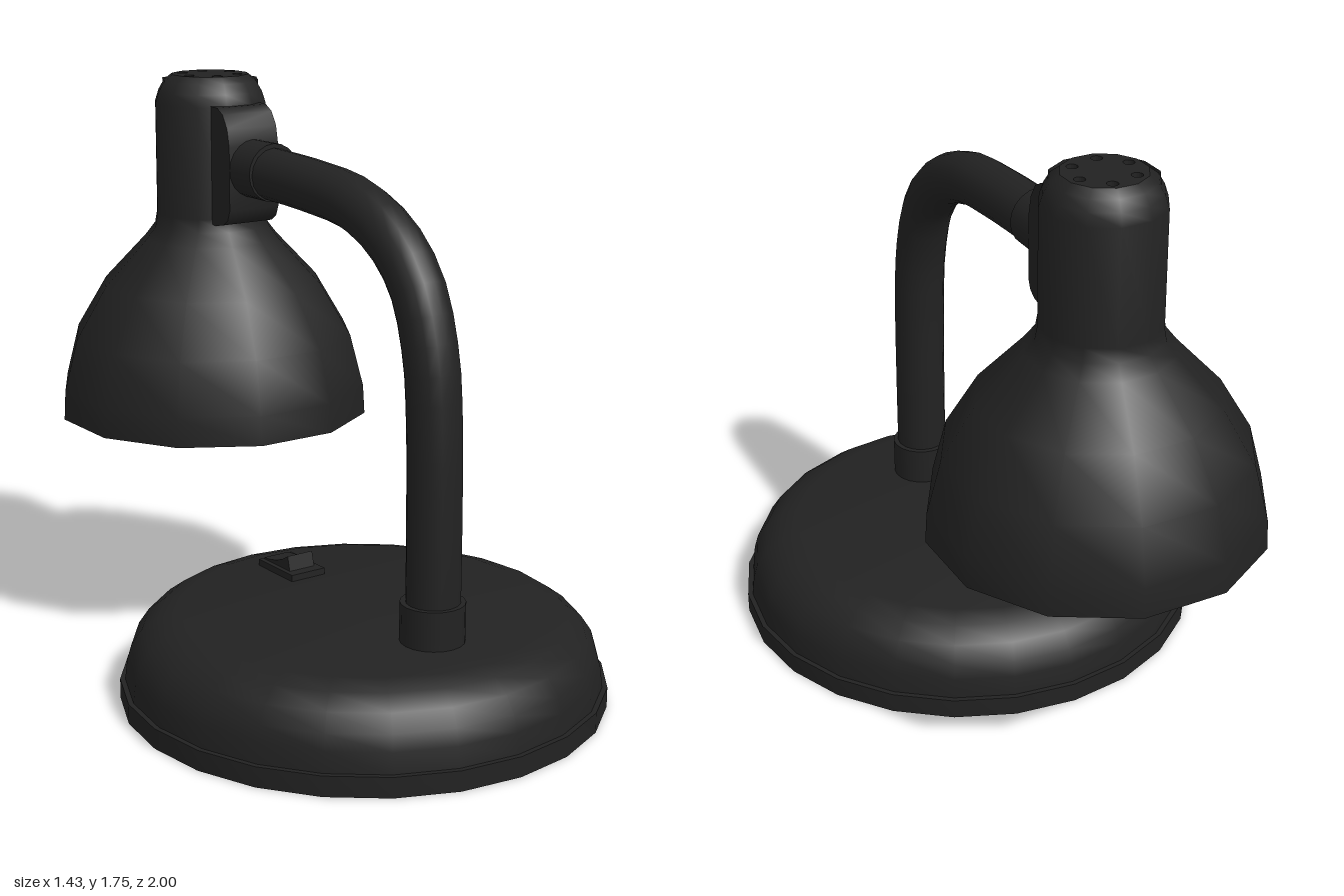
import * as THREE from 'three';
import { toCreasedNormals } from 'three/addons/utils/BufferGeometryUtils.js';

const black = new THREE.MeshStandardMaterial({ color: 0x222222 });
black.name = 'black enamel';
const white = new THREE.MeshStandardMaterial({ color: 0xf0f0f0 });
white.name = 'white reflector';
const grey = new THREE.MeshStandardMaterial({ color: 0xb4b4b4 });
grey.name = 'frosted bulb';

const BASE_Z = 0.283, HEAD_Z = -0.528, ARM_Z = 0.607;
const SIDES = 12, TWIST = Math.PI / 12, FLAT = Math.cos(TWIST);

export function createModel() {
  const lamp = new THREE.Group();
  lamp.name = 'deskLamp';

  const add = (name, geometry, material, x = 0, y = 0, z = 0) => {
    const mesh = new THREE.Mesh(geometry, material);
    mesh.name = name;
    mesh.position.set(x, y, z);
    lamp.add(mesh);
    return mesh;
  };
  const lathe = (profile, sides, start = 0) => toCreasedNormals(
    new THREE.LatheGeometry(profile.map(([r, y]) => new THREE.Vector2(r, y)), sides, start), 0.7);
  // Side outline given as [z, y], extruded across x and centred
  const sideExtrude = (outline, width) => {
    const shape = new THREE.Shape(outline.map(([z, y]) => new THREE.Vector2(-z, y)));
    const geometry = new THREE.ExtrudeGeometry(shape, { depth: width, bevelEnabled: false });
    geometry.translate(0, 0, -width / 2);
    geometry.rotateY(Math.PI / 2);
    return toCreasedNormals(geometry, 0.7);
  };

  // Round base with a stepped foot
  add('base', lathe([[0, 0], [0.715, 0], [0.715, 0.06], [0.7, 0.06], [0.693, 0.12], [0.68, 0.165],
    [0.648, 0.212], [0.6, 0.247], [0.54, 0.265], [0, 0.265]], 24), black, 0, 0, BASE_Z);

  // Curved arm and its two collars
  const path = new THREE.CatmullRomCurve3([[0.608, 0.27], [0.607, 0.6], [0.6, 0.9], [0.58, 1.08],
    [0.515, 1.26], [0.4, 1.375], [0.235, 1.445], [0.04, 1.468], [-0.24, 1.48]]
    .map(([z, y]) => new THREE.Vector3(0, y, z)));
  add('arm', new THREE.TubeGeometry(path, 24, 0.078, 16), black);
  add('armBaseCollar', new THREE.CylinderGeometry(0.093, 0.093, 0.115, 20), black, 0, 0.3225, ARM_Z);
  add('armHeadCollar', new THREE.CylinderGeometry(0.087, 0.087, 0.12, 20), black, 0, 1.482, -0.238)
    .rotation.x = Math.PI / 2;

  // Rounded bracket joining the arm to the head
  add('headBracket', sideExtrude([[-0.4, 1.665], [-0.35, 1.662], [-0.32, 1.645], [-0.296, 1.605],
    [-0.285, 1.55], [-0.285, 1.36], [-0.297, 1.33], [-0.32, 1.313], [-0.36, 1.305], [-0.4, 1.305]], 0.175), black);

  // Twelve-sided shade and neck, with a turned-in rim
  const outer = [[0.452, 0.69], [0.47, 0.69], [0.465, 0.78], [0.425, 0.94], [0.333, 1.1], [0.205, 1.24],
    [0.175, 1.28], [0.168, 1.32], [0.168, 1.66], [0.157, 1.695], [0.14, 1.725], [0.115, 1.745]]
    .map(([r, y]) => [r / FLAT, y]);
  add('shade', lathe(outer, SIDES, TWIST), black, 0, 0, HEAD_Z);
  const inner = [[0.145, 1.3], [0.185, 1.235], [0.313, 1.095], [0.406, 0.935], [0.446, 0.78], [0.452, 0.69]]
    .map(([r, y]) => [r / FLAT, y]);
  add('shadeReflector', lathe(inner, SIDES, TWIST), white, 0, 0, HEAD_Z);
  add('neckLining', lathe([[0.15, 1.73], [0.15, 1.3]], SIDES, TWIST), black, 0, 0, HEAD_Z);

  // Flat cap pierced by a ring of vent holes
  const cap = new THREE.Shape();
  for (let i = 0; i < SIDES; i++) {
    const a = TWIST + i * Math.PI / 6, r = 0.115 / FLAT;
    cap[i ? 'lineTo' : 'moveTo'](r * Math.cos(a), r * Math.sin(a));
  }
  cap.closePath();
  for (let i = 0; i < 6; i++) {
    const a = 0.23 + i * Math.PI / 3;
    cap.holes.push(new THREE.Path().absarc(0.087 * Math.cos(a), 0.087 * Math.sin(a), 0.016, 0, Math.PI * 2, true));
  }
  const capGeometry = new THREE.ExtrudeGeometry(cap, { depth: 0.015, bevelEnabled: false, curveSegments: 8 });
  capGeometry.rotateX(-Math.PI / 2);
  add('ventedCap', capGeometry, black, 0, 1.73, HEAD_Z);

  // Bulb hanging inside the shade
  add('bulb', lathe([[0, 0.94], [0.06, 0.955], [0.105, 0.995], [0.12, 1.05], [0.108, 1.11],
    [0.075, 1.18], [0.055, 1.25], [0.055, 1.4], [0, 1.4]], 16), grey, 0, 0, HEAD_Z);

  // Rocker switch on the base
  add('switchPlate', new THREE.BoxGeometry(0.12, 0.022, 0.18), black, 0, 0.274, -0.09);
  add('switchRocker', sideExtrude([[-0.03, 0.27], [-0.045, 0.33], [-0.075, 0.312], [-0.11, 0.299],
    [-0.145, 0.292], [-0.172, 0.29], [-0.172, 0.27]], 0.09), black);

  return lamp;
}
